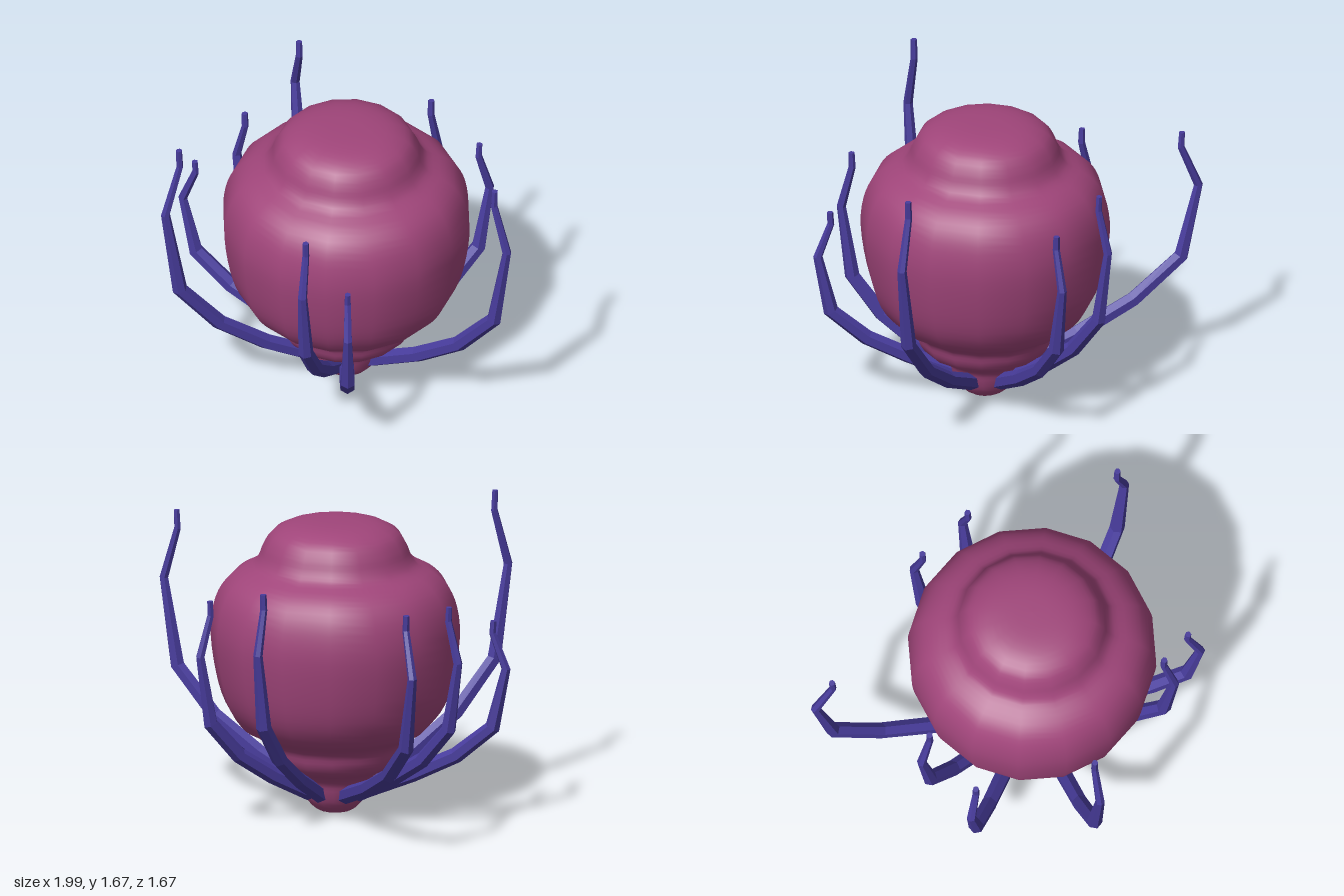
import * as THREE from 'three';

const CENTRE = new THREE.Vector3(-0.035, 0, 0.035);
const SIDES = 6;

// Arm spine in its own vertical plane: distance from the axis, height, thickness
const SPINE = [
  [0.15, 0.13, 0.046], [0.45, 0.28, 0.045], [0.71, 0.455, 0.043], [0.93, 0.705, 0.041],
  [1.01, 1.18, 0.025], [0.93, 1.46, 0.019], [0.935, 1.56, 0.017],
];

// Lofts a tapering, jointed tube along the spine, scaled to a reach and a height
function armGeometry(reach, rise) {
  const pts = SPINE.map(([r, y]) => new THREE.Vector2(
    0.15 + (r - 0.15) * (reach - 0.15) / 0.86,
    y < 0.17 ? y : 0.17 + (y - 0.17) * rise));
  const pos = [], idx = [], last = pts.length - 1;
  pts.forEach((p, i) => {
    const t = pts[Math.min(i + 1, last)].clone().sub(pts[Math.max(i - 1, 0)]).normalize();
    for (let j = 0; j < SIDES; j++) {
      const a = (j / SIDES) * Math.PI * 2, w = SPINE[i][2];
      const c = Math.cos(a) * w, s = Math.sin(a) * w;
      pos.push(p.x + t.y * c, p.y - t.x * c, -s);
    }
  });
  for (let i = 0; i < last; i++) {
    for (let j = 0; j < SIDES; j++) {
      const k = (j + 1) % SIDES;
      const a = i * SIDES + j, b = i * SIDES + k;
      idx.push(a, b, a + SIDES, b, b + SIDES, a + SIDES);
    }
  }
  // end caps
  const e = last * SIDES;
  for (let j = 1; j < SIDES - 1; j++) idx.push(0, j + 1, j, e, e + j, e + j + 1);
  const g = new THREE.BufferGeometry();
  g.setAttribute('position', new THREE.Float32BufferAttribute(pos, 3));
  g.setIndex(idx);
  g.computeVertexNormals();
  return g;
}

export function createModel() {
  const model = new THREE.Group();
  const bodyMat = new THREE.MeshStandardMaterial({ color: 0xa0457a });
  const armMat = new THREE.MeshStandardMaterial({ color: 0x483c9c, flatShading: true });

  // Bulbous body: stalk bulb, collar, wide belly and domed crown
  const profile = new THREE.SplineCurve([
    [0, 0.005], [0.09, 0.022], [0.15, 0.075], [0.18, 0.14], [0.2, 0.2], [0.25, 0.245],
    [0.325, 0.285], [0.365, 0.34], [0.385, 0.4], [0.43, 0.445], [0.505, 0.49], [0.585, 0.6],
    [0.635, 0.76], [0.665, 0.98], [0.65, 1.14], [0.605, 1.25], [0.535, 1.32], [0.445, 1.37],
    [0.407, 1.42], [0.383, 1.48], [0.34, 1.545], [0.255, 1.59], [0.14, 1.61], [0, 1.614],
  ].map(([r, y]) => new THREE.Vector2(r, y)));
  const points = profile.getPoints(69);
  points.forEach((p) => { p.x = Math.max(p.x, 0); });
  const body = new THREE.Mesh(new THREE.LatheGeometry(points, 16), bodyMat);
  body.name = 'body';
  body.position.copy(CENTRE);
  model.add(body);

  // Arms: x and z of the widest point, and height factor
  const arms = [
    ['leftArm', 0.975, 0.035, 1],
    ['frontRightArm', -0.685, 0.81, 1.08],
    ['frontArm', 0.165, 0.79, 0.855],
    ['frontLeftArm', 0.45, 0.79, 0.685],
    ['rightFrontArm', -0.97, 0.185, 0.685],
    ['rightBackArm', -0.86, -0.18, 0.79],
    ['backRightArm', -0.89, -0.81, 0.86],
    ['backArm', 0.055, -0.735, 0.86],
    ['backLeftArm', 0.435, -0.65, 0.79],
  ];
  for (const [name, x, z, rise] of arms) {
    const dx = x - CENTRE.x, dz = z - CENTRE.z;
    const arm = new THREE.Mesh(armGeometry(Math.hypot(dx, dz), rise), armMat);
    arm.name = name;
    arm.position.copy(CENTRE);
    arm.rotation.y = Math.atan2(-dz, dx);
    model.add(arm);
  }
  return model;
}
